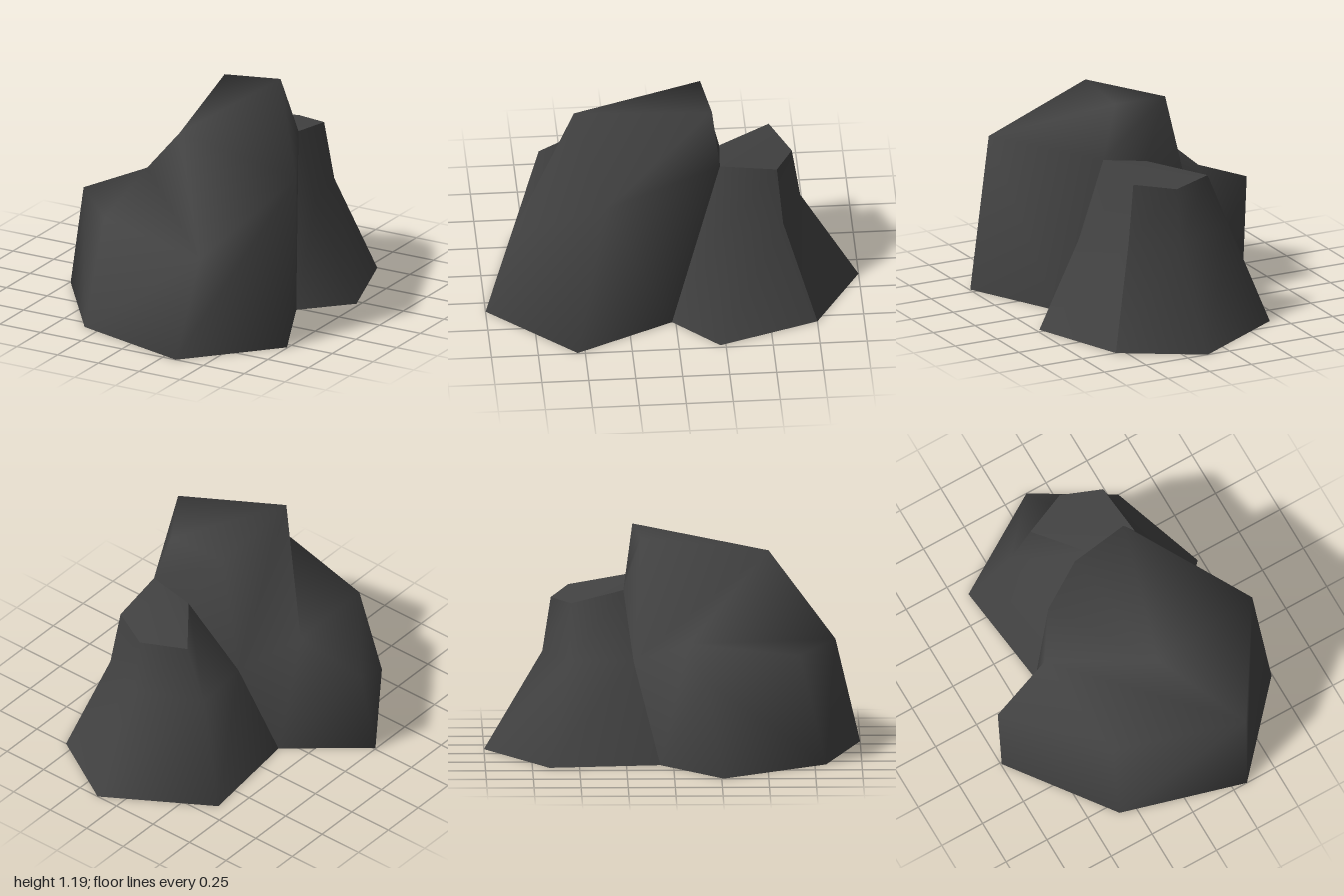
import * as THREE from 'three';
import { toCreasedNormals } from 'three/addons/utils/BufferGeometryUtils.js';

// Corner points shared by both boulders
const P = {
  // ground outline
  a: [-0.745, 0, 0.26], b: [-0.34, 0, 0.81], c: [0.33, 0, 1.0], d: [0.745, 0, 0.54],
  e: [0.5, 0, 0.02], f: [0.73, 0, -0.22], g: [0.55, 0, -0.75], h: [0.13, 0, -1.0],
  i: [-0.42, 0, -0.66], j: [-0.35, 0, -0.07],
  // front boulder: low shoulder, then tall crown
  E: [-0.718, 0.515, 0.17], G: [-0.3, 0.58, 0.67], D: [-0.38, 0.66, 0.08],
  F: [0.4, 0.54, 0.87], R: [0.713, 0.9, 0.39], Q: [0.07, 1.08, 0.51],
  A: [0.27, 1.19, -0.21], B: [-0.05, 1.17, -0.17],
  // back boulder: waist, then flat top
  mf: [0.47, 0.53, -0.23], mg: [0.385, 0.53, -0.58], mh: [0.13, 0.53, -0.69],
  mi: [-0.23, 0.54, -0.55], mj: [-0.19, 0.53, -0.21],
  t1: [0.36, 0.9, -0.245], t2: [0.34, 0.85, -0.55], t3: [0.13, 0.82, -0.645],
  t4: [-0.11, 0.83, -0.54], t5: [0.11, 0.86, -0.26],
};

// Each face is a list of corners, counter-clockwise from outside
const frontFaces = [
  'b G E a', 'b c F G', 'c d R F', 'R d e t1 A',   // walls
  'R A Q F', 'D F Q', 'Q B mj', 'Q mj D', 'Q A B', // crown
  'G F D E',                                       // shoulder top
  'j a E D', 'D mj j', 'B A t1 t5 mj',             // rear
];
const backSideFaces = ['e f mf t1', 'f g mg mf', 'mf mg t2 t1'];
const backRearFaces = [
  'g h mh mg', 'h i mi mh', 'i j mj mi',
  'mg mh t3 t2', 'mh mi t4 t3', 'mi mj t5 t4',
];
const backTopFaces = ['t1 t2 t3 t4 t5'];

// A panel is smooth within itself and sharp where it meets the next one
function panel(name, faces, material) {
  const pos = [];
  for (const face of faces) {
    const k = face.split(' ');
    for (let n = 1; n < k.length - 1; n++) pos.push(...P[k[0]], ...P[k[n]], ...P[k[n + 1]]);
  }
  const geo = new THREE.BufferGeometry();
  geo.setAttribute('position', new THREE.Float32BufferAttribute(pos, 3));
  const mesh = new THREE.Mesh(toCreasedNormals(geo, Math.PI), material);
  mesh.name = name;
  return mesh;
}

export function createModel() {
  const group = new THREE.Group();
  group.name = 'rockCluster';
  // The shells are open underneath
  const stone = new THREE.MeshStandardMaterial({ color: 0x424242, side: THREE.DoubleSide });
  stone.name = 'darkStone';
  group.add(panel('frontBoulder', frontFaces, stone));

  const back = new THREE.Group();
  back.name = 'backBoulder';
  back.add(
    panel('backBoulderSide', backSideFaces, stone),
    panel('backBoulderRear', backRearFaces, stone),
    panel('backBoulderTop', backTopFaces, stone),
  );
  group.add(back);
  return group;
}
